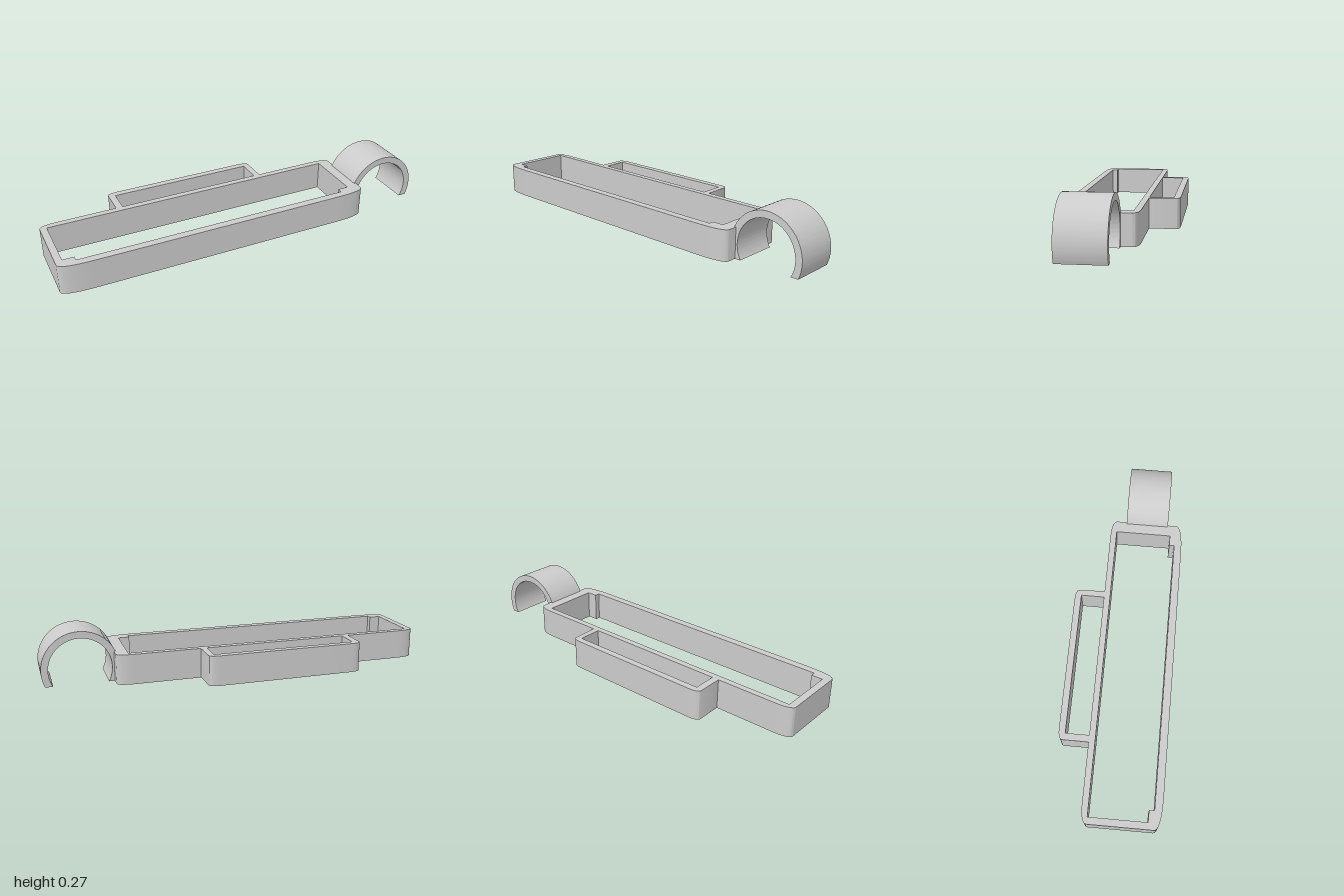
import * as THREE from 'three';
import { toCreasedNormals } from 'three/addons/utils/BufferGeometryUtils.js';

const HEIGHT = 0.154;
const material = new THREE.MeshStandardMaterial({ color: 0xcccccc });

function addExtrusion(group, name, shape, depth) {
  const flat = new THREE.ExtrudeGeometry(shape, { depth, bevelEnabled: false, curveSegments: 48 });
  const mesh = new THREE.Mesh(toCreasedNormals(flat, 0.5), material);
  mesh.name = name;
  group.add(mesh);
  return mesh;
}

// Plan outlines are given as x, z and stood upright
const plan = (pts) => pts.map(([x, z]) => new THREE.Vector2(x, -z));

function addPlan(group, name, shape) {
  addExtrusion(group, name, shape, HEIGHT).geometry.rotateX(-Math.PI / 2);
}

export function createModel() {
  const group = new THREE.Group();

  // Long frame: softly swept corners, thicker right wall
  const frame = new THREE.Shape();
  frame.moveTo(-0.83, -0.273);
  frame.lineTo(0.47, -0.273);
  frame.quadraticCurveTo(0.64, -0.273, 0.64, -0.235);
  frame.lineTo(0.64, 0.088);
  frame.quadraticCurveTo(0.64, 0.12, 0.54, 0.12);
  frame.lineTo(-0.9, 0.12);
  frame.quadraticCurveTo(-1, 0.12, -1, 0.088);
  frame.lineTo(-1, -0.235);
  frame.quadraticCurveTo(-1, -0.273, -0.83, -0.273);
  // Opening with a small step in each front corner
  frame.holes.push(new THREE.Path(plan([
    [-0.965, -0.088], [0.577, -0.088], [0.577, 0.206], [0.52, 0.206],
    [0.52, 0.233], [-0.907, 0.233], [-0.907, 0.206], [-0.965, 0.206],
  ])));
  addPlan(group, 'frame', frame);

  // Three-sided pocket on the back wall
  const pocket = new THREE.Shape();
  pocket.moveTo(-0.603, 0.118);
  pocket.lineTo(-0.603, 0.252);
  pocket.quadraticCurveTo(-0.603, 0.275, -0.54, 0.275);
  pocket.lineTo(0.15, 0.275);
  pocket.quadraticCurveTo(0.212, 0.275, 0.212, 0.252);
  pocket.lineTo(0.215, 0.118);
  pocket.lineTo(0.182, 0.118);
  pocket.lineTo(0.182, 0.241);
  pocket.lineTo(-0.568, 0.241);
  pocket.lineTo(-0.568, 0.118);
  addPlan(group, 'backPocket', pocket);

  // Open ring clip, cut level with the ground
  const cx = 0.807, cy = 0.077, outer = 0.192, inner = 0.157;
  const a = Math.asin(cy / outer), b = Math.asin(cy / inner);
  const ring = new THREE.Shape();
  ring.absarc(cx, cy, outer, -a, Math.PI + a, false);
  ring.absarc(cx, cy, inner, Math.PI + b, -b, true);
  addExtrusion(group, 'ringClip', ring, 0.227).position.z = -0.037;

  return group;
}
